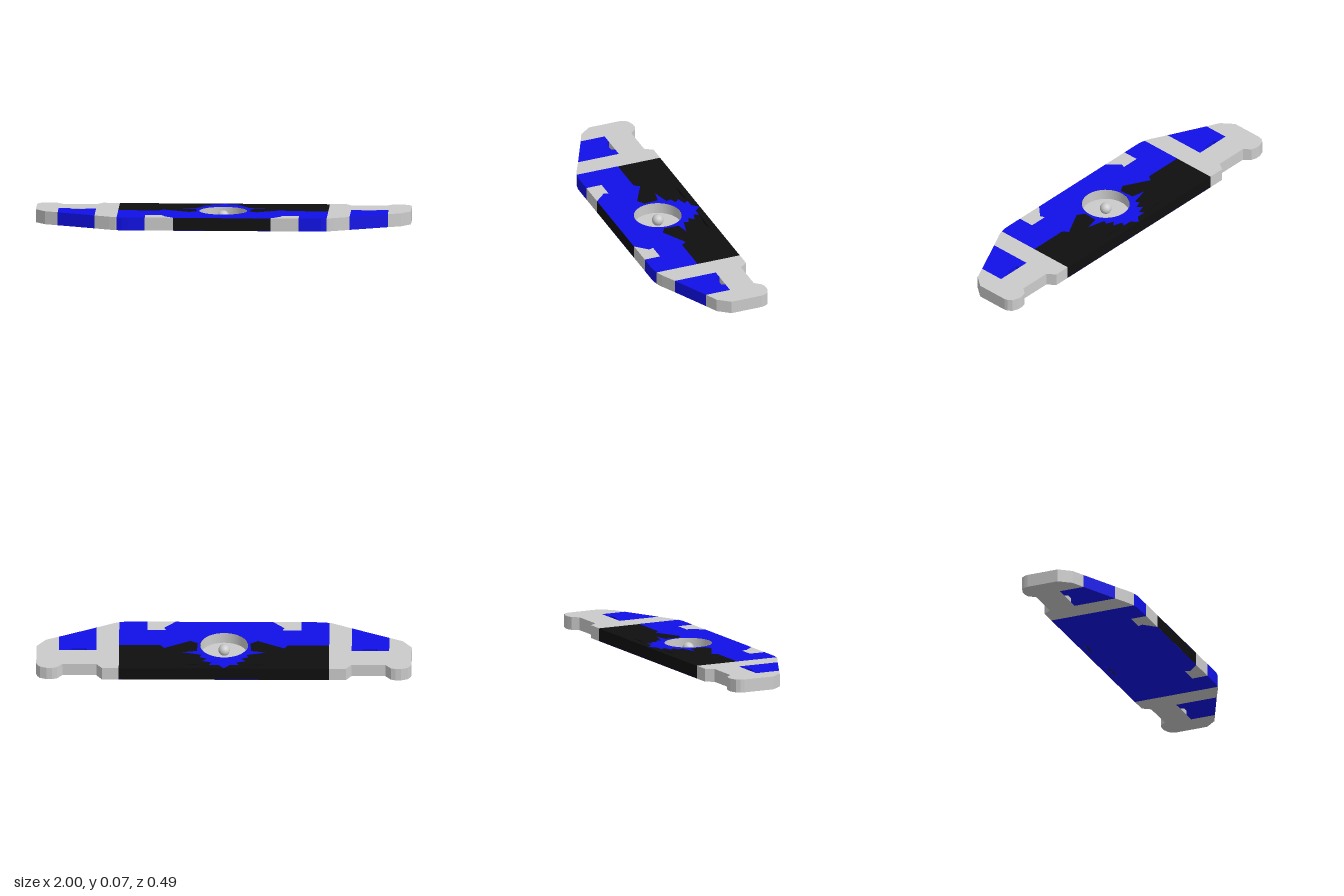
import * as THREE from 'three';

const GREY = 0xcccccc, BLUE = 0x1010e8, BLACK = 0x0f0f0f;
const HEIGHT = 0.07, SKIN = 0.001, RECESS = 0.128;

const material = (color) => new THREE.MeshStandardMaterial({ color, flatShading: true });
const mirror = (points) => points.map(([x, z]) => [-x, z]);
// closes a right-hand [x, z] run with its mirror image
const symmetric = (points) => [...points, ...mirror(points).reverse()];
const toVectors = (points) => points.map(([x, z]) => new THREE.Vector2(x, z));

// plan outline [x, z] extruded between two heights
function slab(name, points, y0, y1, color, holes = []) {
  const shape = new THREE.Shape(toVectors(points));
  shape.holes.push(...holes);
  const geometry = new THREE.ExtrudeGeometry(shape, { depth: y1 - y0, bevelEnabled: false, curveSegments: 24 });
  geometry.rotateX(Math.PI / 2).translate(0, y1, 0);
  const mesh = new THREE.Mesh(geometry, material(color));
  mesh.name = name;
  return mesh;
}

const recessHole = () => new THREE.Path().absarc(0, 0, RECESS, 0, Math.PI * 2, true);

export function createModel() {
  const group = new THREE.Group();

  // narrow slits near the back edge
  const slit = [[0.07, -0.21], [0.245, -0.205], [0.17, -0.195]];
  const slits = () => [slit, mirror(slit)].map((p) => new THREE.Path(toVectors(p)));

  // centre plate, notched at the front for the pads and corners
  const centre = symmetric([
    [0.56, -0.243], [0.56, 0.155], [0.31, 0.155], [0.32, 0.18], [0.26, 0.243],
  ]);
  group.add(slab('centreCore', centre, SKIN, HEIGHT - SKIN, BLACK, [recessHole(), ...slits()]));
  group.add(slab('undersidePanel', centre, 0, SKIN, BLUE, slits()));

  // blue top panel with a jagged crest behind the recess
  const panel = symmetric([
    [0, -0.24], [0.03, -0.205], [0.08, -0.205], [0.065, -0.18], [0.115, -0.165],
    [0.09, -0.14], [0.13, -0.125], [0.12, -0.1], [0.22, -0.075], [0.145, -0.06],
    [0.14, 0.02], [0.18, 0.045], [0.32, -0.03], [0.34, 0], [0.56, 0],
    [0.56, 0.155], [0.31, 0.155], [0.32, 0.18], [0.26, 0.243],
  ]).slice(0, -1);
  group.add(slab('topPanel', panel, HEIGHT - SKIN, HEIGHT, BLUE, [recessHole()]));

  // parts repeated on both sides
  const sideParts = [
    ['Wing', GREY, [
      [0.56, -0.243], [0.65, -0.243], [0.68, -0.2], [0.86, -0.2], [0.89, -0.235],
      [0.915, -0.243], [0.945, -0.243], [0.98, -0.23], [0.995, -0.21], [1, -0.19],
      [1, -0.015], [0.95, 0.05], [0.88, 0.083], [0.88, -0.055], [0.68, -0.055],
      [0.68, 0.18], [0.6, 0.221], [0.57, 0.234], [0.56, 0.236],
    ]],
    ['WingInsert', BLUE, [
      [0.68, -0.055], [0.73, -0.055], [0.74, -0.034], [0.81, -0.034], [0.82, -0.055],
      [0.88, -0.055], [0.88, 0.083], [0.68, 0.18],
    ]],
    ['FrontCorner', BLUE, [
      [0.41, 0.155], [0.56, 0.155], [0.56, 0.236], [0.53, 0.242], [0.5, 0.243], [0.41, 0.243],
    ]],
    ['FrontPad', GREY, [
      [0.41, 0.155], [0.41, 0.243], [0.26, 0.243], [0.32, 0.18], [0.31, 0.155],
    ]],
  ];
  for (const [name, color, points] of sideParts) {
    group.add(slab('left' + name, points, 0, HEIGHT, color));
    group.add(slab('right' + name, mirror(points), 0, HEIGHT, color));
  }

  // round recess with a ball in the middle
  const smooth = new THREE.MeshStandardMaterial({ color: GREY, side: THREE.DoubleSide });
  const wall = new THREE.Mesh(
    new THREE.CylinderGeometry(RECESS - 0.001, RECESS - 0.001, HEIGHT - 0.01, 48, 1, true), smooth);
  wall.name = 'recessWall';
  wall.position.y = (HEIGHT + 0.01) / 2;
  const floor = new THREE.Mesh(new THREE.CircleGeometry(RECESS, 48).rotateX(-Math.PI / 2), smooth);
  floor.name = 'recessFloor';
  floor.position.y = 0.01;
  const ball = new THREE.Mesh(new THREE.SphereGeometry(0.031, 24, 16), smooth);
  ball.name = 'ball';
  ball.position.y = 0.041;
  group.add(wall, floor, ball);

  return group;
}
